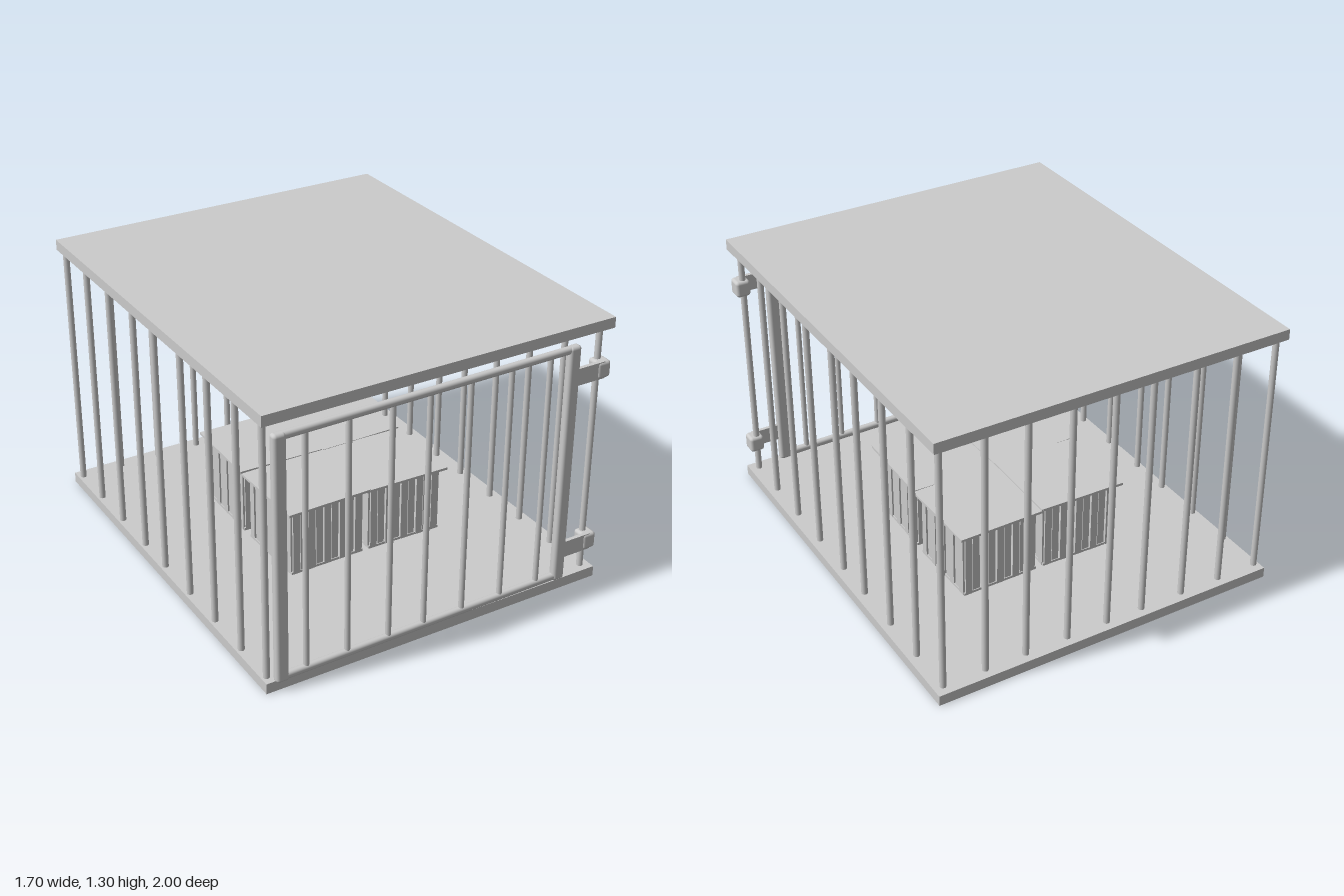
import * as THREE from 'three';
import { RoundedBoxGeometry } from 'three/addons/geometries/RoundedBoxGeometry.js';

const grey = new THREE.MeshStandardMaterial({ color: 0xcccccc });
const FLOOR = 0.05, CEILING = 1.255;

function add(parent, name, geometry, x, y, z) {
  const mesh = new THREE.Mesh(geometry, grey);
  mesh.name = name;
  mesh.position.set(x, y, z);
  parent.add(mesh);
  return mesh;
}

function group(parent, name) {
  const g = new THREE.Group();
  g.name = name;
  parent.add(g);
  return g;
}

// Upright round bar between two heights
function bar(parent, name, x, z, y0, y1, r = 0.015) {
  return add(parent, name, new THREE.CylinderGeometry(r, r, y1 - y0, 12), x, (y0 + y1) / 2, z);
}

// Slatted crate with an overhanging lid
function crate(parent, x, z, angle, lidTop) {
  const g = group(parent, 'crate');
  g.position.set(x, FLOOR, z);
  g.rotation.y = angle;
  const half = 0.185, count = 9, step = (2 * half) / count, h = lidTop - FLOOR - 0.012;
  add(g, 'crateLid', new THREE.BoxGeometry(0.43, 0.012, 0.43), 0, h + 0.006, 0);
  add(g, 'crateBottom', new THREE.BoxGeometry(0.38, 0.012, 0.38), 0, 0.006, 0);
  const slat = new THREE.BoxGeometry(step - 0.006, h, 0.012);
  for (let side = 0; side < 4; side++) {
    const wall = group(g, 'crateWall');
    wall.rotation.y = (side * Math.PI) / 2;
    for (let i = 0; i < count; i++) {
      add(wall, 'slat', slat, -half + step * (i + 0.5), h / 2, half - (i % 2) * 0.005);
    }
  }
  return g;
}

export function createModel() {
  const model = new THREE.Group();
  model.name = 'cage';

  // Floor and roof slabs
  const slab = new THREE.BoxGeometry(1.7, 0.05, 1.975);
  add(model, 'floor', slab, 0, 0.025, -0.0125);
  add(model, 'roof', slab, 0, 1.28, -0.0125);

  // Side and back bars
  for (const z of [0.93, 0.71, 0.47, 0.23, -0.02, -0.23, -0.48, -0.72, -0.95]) {
    bar(model, 'rightSideBar', 0.805, z, FLOOR, CEILING);
    bar(model, 'leftSideBar', -0.825, z, FLOOR, CEILING);
  }
  for (const x of [-0.62, -0.415, -0.2, -0.015, 0.19, 0.4, 0.6]) {
    bar(model, 'backBar', x, -0.95, FLOOR, CEILING);
  }

  // Door, slightly ajar: pivots at the hinge end
  const door = group(model, 'door');
  door.position.set(0.68, 0, 0.957);
  door.rotation.y = 0.012;
  const stile = new RoundedBoxGeometry(0.06, 1.17, 0.042, 3, 0.015);
  add(door, 'doorStile', stile, -0.03, 0.63, 0);
  add(door, 'doorStile', stile, -1.46, 0.63, 0);
  const rail = new RoundedBoxGeometry(1.47, 0.034, 0.034, 3, 0.014);
  add(door, 'doorTopRail', rail, -0.745, 1.198, 0);
  add(door, 'doorBottomRail', rail, -0.745, 0.064, 0);
  for (const x of [-0.66, -0.46, -0.255, -0.075, 0.125, 0.33, 0.53]) {
    bar(door, 'doorBar', x - 0.68, 0, 0.07, 1.19, 0.013);
  }

  // Hinges: a strap from the door wrapping the corner bar
  for (const y of [0.2, 1.065]) {
    const hinge = group(model, 'hinge');
    add(hinge, 'hingeStrap', new THREE.BoxGeometry(0.15, 0.08, 0.018), 0.74, y, 0.966);
    add(hinge, 'hingeSleeve', new RoundedBoxGeometry(0.07, 0.08, 0.075, 3, 0.015), 0.81, y, 0.942);
  }

  // Four crates pushed together
  const crates = group(model, 'crates');
  crate(crates, -0.18, 0.145, 0.02, 0.386);
  crate(crates, 0.24, 0.145, -0.02, 0.382);
  crate(crates, -0.18, -0.285, -0.02, 0.39);
  crate(crates, 0.245, -0.285, 0.015, 0.384);

  return model;
}
